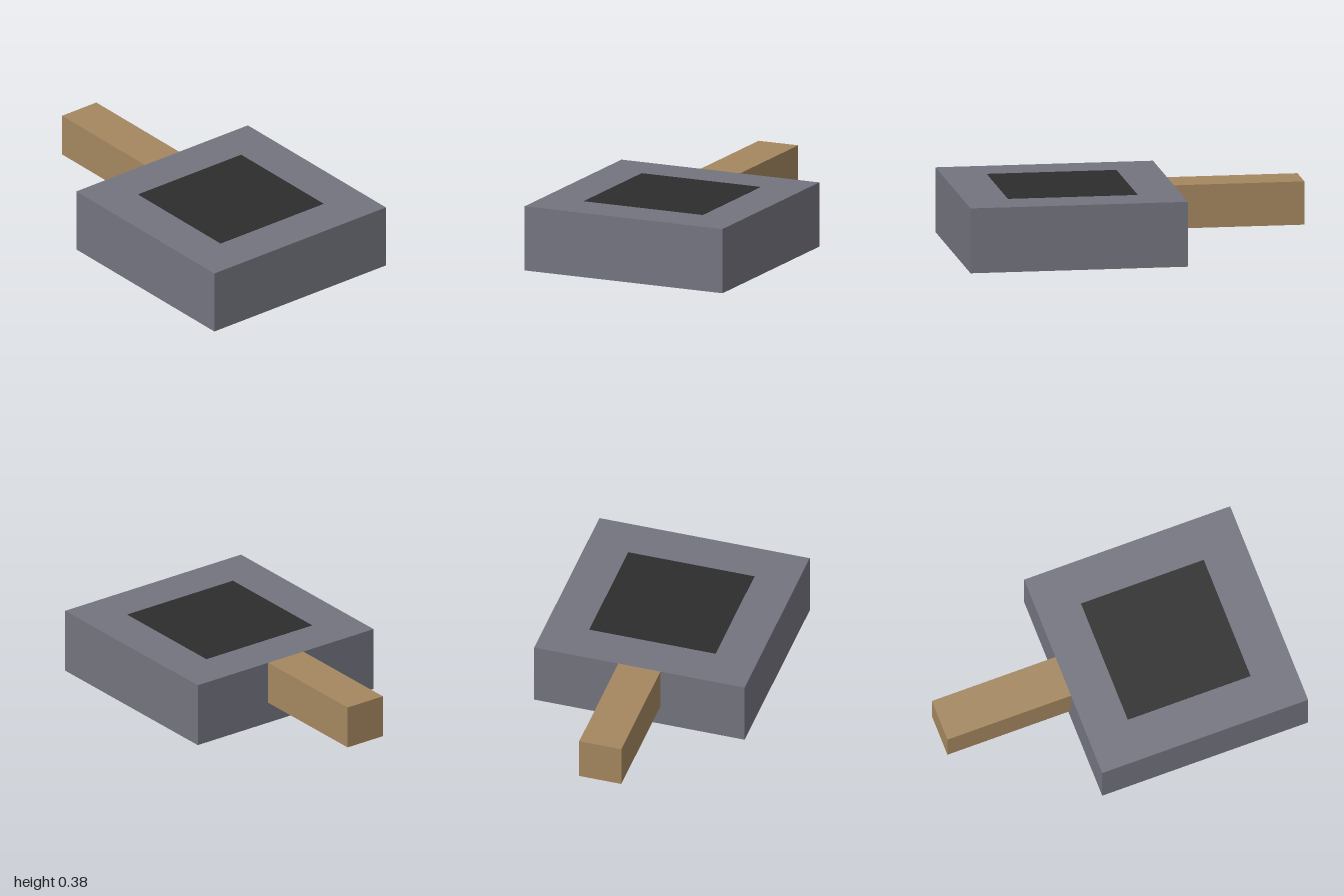
import * as THREE from 'three';

export function createModel() {
  const model = new THREE.Group();
  model.name = 'pan';

  const metal = new THREE.MeshStandardMaterial({ name: 'grey metal', color: 0x74747f });
  const wood = new THREE.MeshStandardMaterial({ name: 'brown wood', color: 0xa4875f });
  const dark = new THREE.MeshStandardMaterial({ name: 'dark surface', color: 0x2d2d2d });

  // Box with its bottom at y and its centre at z
  function addBox(name, material, [w, h, d], y, z) {
    const mesh = new THREE.Mesh(new THREE.BoxGeometry(w, h, d), material);
    mesh.name = name;
    mesh.position.set(0, y + h / 2, z);
    model.add(mesh);
  }

  // Square body, handle flush with its top at the back
  addBox('body', metal, [1.25, 0.375, 1.25], 0, 0.375);
  addBox('handle', wood, [0.25, 0.25, 0.75], 0.125, -0.625);

  // Dark square painted on the top, just proud of the surface
  addBox('cookingSurface', dark, [0.75, 0.004, 0.745], 0.373, 0.3725);

  return model;
}
